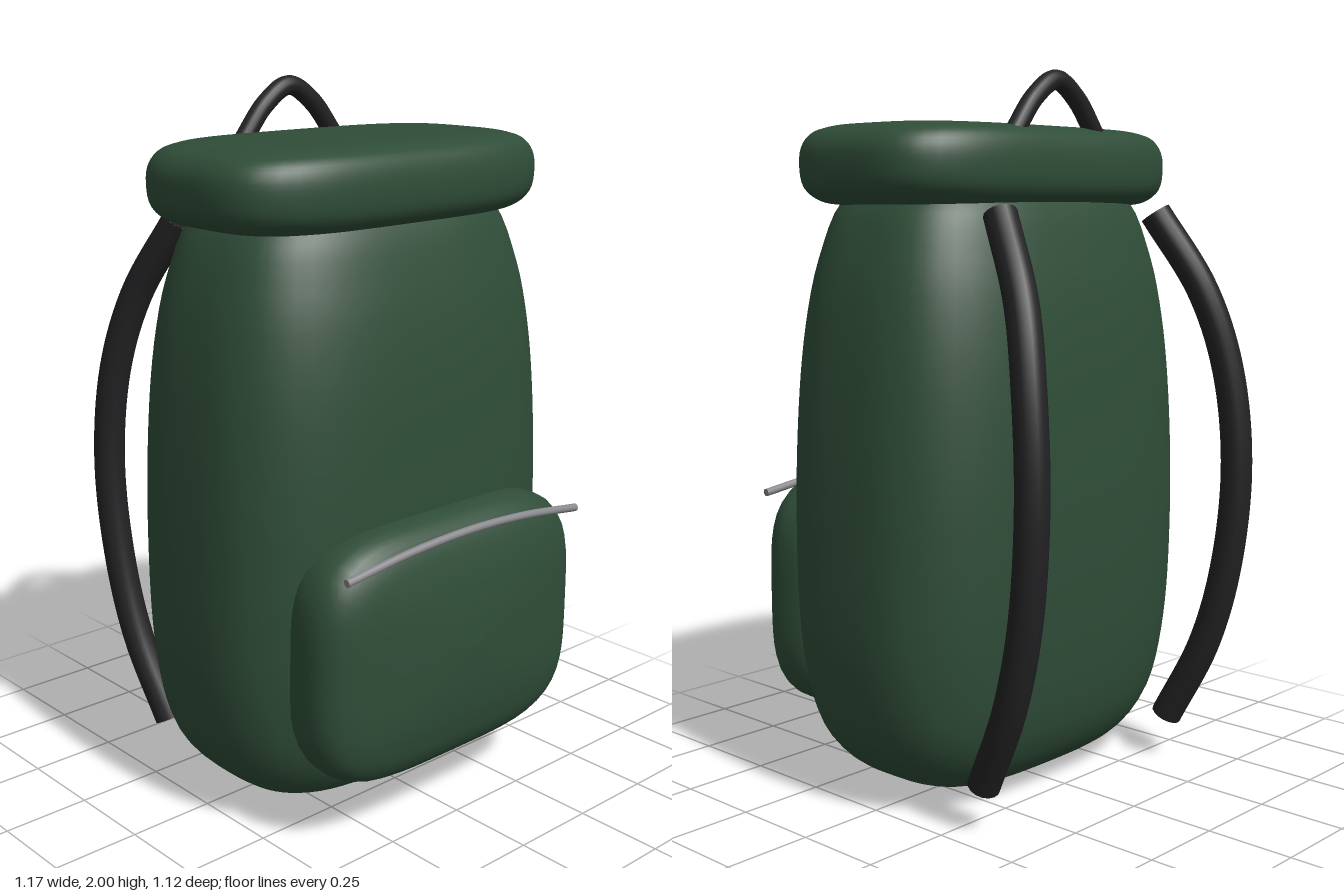
import * as THREE from 'three';

const fabric = new THREE.MeshStandardMaterial({ name: 'greenFabric', color: 0x2f4d38 });
const webbing = new THREE.MeshStandardMaterial({ name: 'blackWebbing', color: 0x222224 });
const metal = new THREE.MeshStandardMaterial({ name: 'greyZip', color: 0x8a8a8e });

// Closed soft form: superellipse rings along y, each profile point is [y, halfWidth, halfDepth]
function softForm(profile, power, steps = 60, sides = 72) {
  const curve = new THREE.CatmullRomCurve3(
    profile.map(([y, w, d]) => new THREE.Vector3(w, y, d)), false, 'centripetal');
  const positions = [], index = [];
  for (let i = 0; i <= steps; i++) {
    const p = curve.getPointAt(i / steps);
    for (let j = 0; j < sides; j++) {
      const a = (j / sides) * Math.PI * 2, c = Math.cos(a), s = Math.sin(a);
      const r = Math.pow(Math.abs(c) ** power + Math.abs(s) ** power, -1 / power);
      positions.push(p.x * r * c, p.y, p.z * r * s);
      if (i === steps) continue;
      const here = i * sides + j, next = i * sides + (j + 1) % sides;
      index.push(here, here + sides, next, next, here + sides, next + sides);
    }
  }
  const g = new THREE.BufferGeometry();
  g.setAttribute('position', new THREE.Float32BufferAttribute(positions, 3));
  g.setIndex(index);
  g.computeVertexNormals();
  return g;
}

function addMesh(parent, name, geometry, material) {
  const m = new THREE.Mesh(geometry, material);
  m.name = name;
  parent.add(m);
  return m;
}

// Round cord through points, with flat discs closing both ends
function cord(name, points, radius, material) {
  const group = new THREE.Group();
  group.name = name;
  const curve = new THREE.CatmullRomCurve3(points.map(p => new THREE.Vector3(...p)));
  addMesh(group, name + 'Cord', new THREE.TubeGeometry(curve, 48, radius, 16), material);
  for (const t of [0, 1]) {
    const cap = addMesh(group, name + 'End', new THREE.CircleGeometry(radius, 16), material);
    const out = curve.getTangentAt(t).multiplyScalar(t ? 1 : -1);
    cap.position.copy(curve.getPointAt(t));
    cap.quaternion.setFromUnitVectors(new THREE.Vector3(0, 0, 1), out);
  }
  return group;
}

export function createModel() {
  const model = new THREE.Group();
  model.name = 'backpack';

  // Main bag
  addMesh(model, 'body', softForm([
    [0.003, 0, 0], [0.006, 0.17, 0.08], [0.02, 0.27, 0.15], [0.05, 0.37, 0.22], [0.1, 0.45, 0.28],
    [0.2, 0.525, 0.33], [0.4, 0.573, 0.363], [0.8, 0.582, 0.382], [1.2, 0.562, 0.367],
    [1.4, 0.535, 0.342], [1.5, 0.511, 0.32], [1.64, 0.455, 0.275], [1.72, 0.35, 0.2], [1.74, 0, 0],
  ], 3), fabric).position.z = 0.037;

  // Overhanging lid
  addMesh(model, 'lid', softForm([
    [1.642, 0, 0], [1.637, 0.44, 0.23], [1.65, 0.51, 0.283], [1.685, 0.55, 0.312], [1.74, 0.56, 0.32],
    [1.79, 0.555, 0.315], [1.825, 0.53, 0.298], [1.845, 0.48, 0.26], [1.853, 0.4, 0.2], [1.856, 0, 0],
  ], 3.5, 90), fabric).position.z = 0.041;

  // Front pocket, grown forward along z
  const pocket = addMesh(model, 'frontPocket', softForm([
    [0.27, 0, 0], [0.28, 0.42, 0.3], [0.34, 0.47, 0.35], [0.4, 0.48, 0.36], [0.44, 0.478, 0.358],
    [0.48, 0.46, 0.34], [0.51, 0.42, 0.3], [0.533, 0.34, 0.23], [0.55, 0.2, 0.13], [0.56, 0, 0],
  ], 4), fabric);
  pocket.rotation.x = Math.PI / 2;
  pocket.position.y = 0.525;

  // Pocket zip
  model.add(cord('pocketZip', [
    [-0.44, 0.81, 0.521], [-0.22, 0.838, 0.524], [0, 0.849, 0.527],
    [0.22, 0.838, 0.524], [0.44, 0.81, 0.521],
  ], 0.011, metal));

  // Carry handle on the lid
  model.add(cord('carryHandle', [
    [-0.17, 1.825, -0.205], [-0.085, 1.925, -0.205], [0, 1.972, -0.205],
    [0.085, 1.925, -0.205], [0.17, 1.825, -0.205],
  ], 0.027, webbing));

  // Shoulder straps
  for (const [name, s] of [['leftStrap', 1], ['rightStrap', -1]]) {
    model.add(cord(name, [
      [s * 0.325, 1.615, -0.3], [s * 0.385, 1.4, -0.425], [s * 0.425, 1.18, -0.488],
      [s * 0.442, 0.9, -0.514], [s * 0.437, 0.6, -0.488], [s * 0.425, 0.36, -0.424],
      [s * 0.4, 0.125, -0.31],
    ], 0.045, webbing));
  }
  return model;
}
